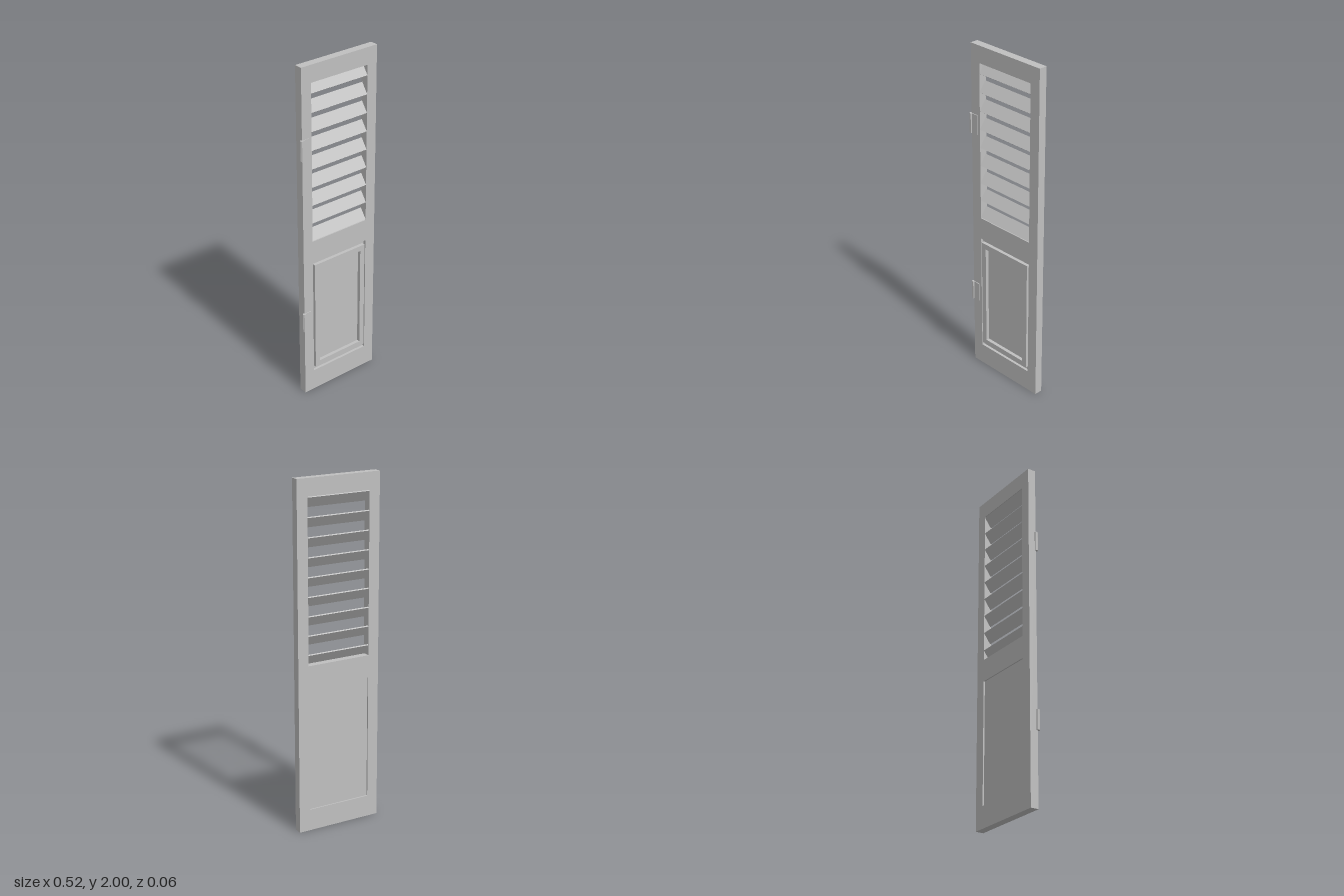
import * as THREE from 'three';

const X0 = 0.004;              // door centre, offset by the hinges
const BACK = -0.03, FRONT = 0.0175;

// Flat board with rectangular holes; rectangles are [halfWidth, bottom, top]
function board([w, b, t], holes, z0, z1) {
  const trace = (path, [hw, y0, y1]) => {
    path.moveTo(-hw, y0);
    path.lineTo(hw, y0);
    path.lineTo(hw, y1);
    path.lineTo(-hw, y1);
    path.closePath();
    return path;
  };
  const shape = trace(new THREE.Shape(), [w, b, t]);
  holes.forEach((h) => shape.holes.push(trace(new THREE.Path(), h)));
  const geo = new THREE.ExtrudeGeometry(shape, { depth: z1 - z0, bevelEnabled: false });
  return geo.translate(X0, 0, z0);
}

export function createModel() {
  const model = new THREE.Group();
  model.name = 'louvredDoor';
  const grey = new THREE.MeshStandardMaterial({ color: 0xc0c0c0, flatShading: true });
  grey.name = 'paintedGrey';

  const add = (name, geo, parent = model) => {
    const mesh = new THREE.Mesh(geo, grey);
    mesh.name = name;
    parent.add(mesh);
    return mesh;
  };

  // Door frame with the louvre opening and the panel opening
  const louvreHole = [0.19, 0.976, 1.902];
  const panelHole = [0.19, 0.126, 0.846];
  add('doorFrame', board([0.254, 0, 2], [louvreHole, panelHole], BACK, FRONT));

  // Recessed lower panel and its raised moulding
  add('lowerPanel', board(panelHole, [], -0.022, 0.002));
  add('panelMoulding', board([0.18, 0.149, 0.825], [[0.149, 0.18, 0.793]], 0.002, 0.022));

  // Slanted slats, high at the back and low at the front
  const slats = new THREE.Group();
  slats.name = 'louvreSlats';
  model.add(slats);
  const slatGeo = new THREE.BoxGeometry(0.38, 0.008, 0.0715);
  for (let i = 0; i < 9; i++) {
    const slat = add('slat', slatGeo, slats);
    slat.position.set(X0, 1.87 - 0.1078 * i, -0.0063);
    slat.rotation.x = THREE.MathUtils.degToRad(55);
  }

  // Two hinges on the left of the front: six-sided barrel and flat leaf
  const barrelGeo = new THREE.CylinderGeometry(0.01, 0.01, 0.115, 6).rotateY(Math.PI / 6);
  const leafGeo = new THREE.BoxGeometry(0.046, 0.115, 0.005);
  for (const y of [1.541, 0.481]) {
    const hinge = new THREE.Group();
    hinge.name = 'hinge';
    hinge.position.y = y;
    model.add(hinge);
    add('hingeBarrel', barrelGeo, hinge).position.set(-0.252, 0, 0.0195);
    add('hingeLeaf', leafGeo, hinge).position.set(-0.228, 0, 0.0195);
  }

  return model;
}
